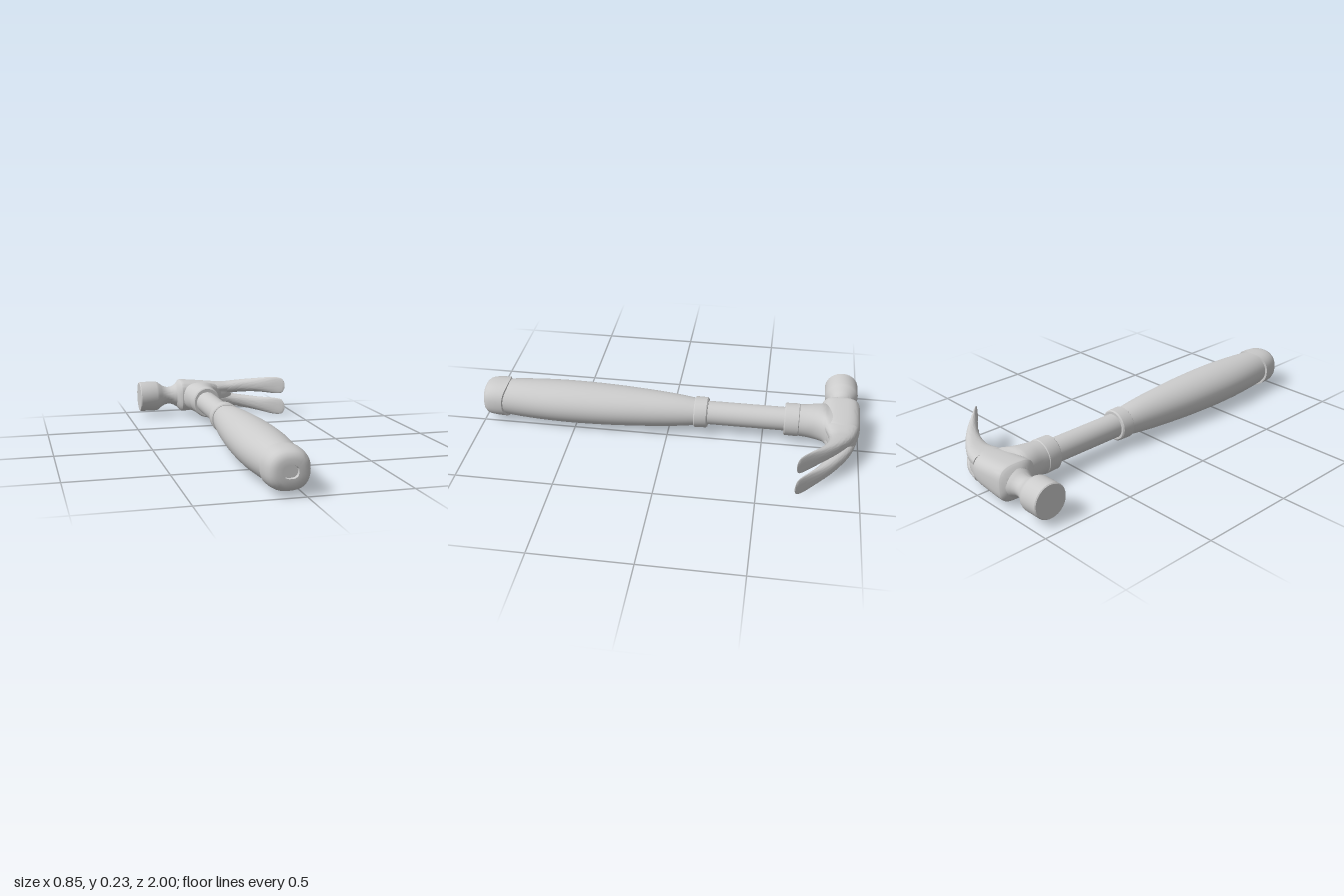
import * as THREE from 'three';
import { toCreasedNormals } from 'three/addons/utils/BufferGeometryUtils.js';

const CX = -0.074, CY = 0.115; // handle axis
const PZ = -0.907;             // striking axis

// Catmull-Rom refinement of a list of sections
function refine(rows, steps) {
  const out = [];
  for (let i = 0; i < rows.length - 1; i++) {
    const p = [rows[Math.max(i - 1, 0)], rows[i], rows[i + 1], rows[Math.min(i + 2, rows.length - 1)]];
    for (let s = 0; s < steps; s++) {
      const t = s / steps;
      out.push(rows[i].map((_, k) => {
        const [a, b, c, d] = p.map(r => r[k]);
        return b + 0.5 * t * (c - a + t * (2 * a - 5 * b + 4 * c - d + t * (3 * (b - c) + d - a)));
      }));
    }
  }
  out.push(rows[rows.length - 1]);
  return out;
}

// Closed skin over superellipse sections [t, centre1, radius1, centre2, radius2, exponent, wave].
// Axis 'x' puts the sections in (y, z), axis 'z' puts them in (x, y).
function loft(axis, rows, { steps = 1, sides = 40, crease = 0.6 } = {}) {
  const secs = steps > 1 ? refine(rows, steps) : rows;
  const pos = [], idx = [];
  const put = (t, u, v) => (axis === 'x' ? pos.push(t, u, v) : pos.push(u, v, t));
  const pw = (c, n) => Math.sign(c) * Math.pow(Math.abs(c), 2 / n);
  for (const [t, c1, r1, c2, r2, n = 2, wave = 0] of secs) {
    for (let j = 0; j < sides; j++) {
      const a = (j / sides) * Math.PI * 2;
      put(t + wave * Math.cos(2 * a), c1 + r1 * pw(Math.cos(a), n), c2 + r2 * pw(Math.sin(a), n));
    }
  }
  const last = secs.length - 1;
  for (let i = 0; i < last; i++) {
    for (let j = 0; j < sides; j++) {
      const k = (j + 1) % sides, a = i * sides, b = a + sides;
      idx.push(a + j, a + k, b + j, a + k, b + k, b + j);
    }
  }
  // end caps
  const e = secs.length * sides;
  put(secs[0][0], secs[0][1], secs[0][3]);
  put(secs[last][0], secs[last][1], secs[last][3]);
  for (let j = 0; j < sides; j++) {
    const k = (j + 1) % sides;
    idx.push(e, k, j, e + 1, last * sides + j, last * sides + k);
  }
  const g = new THREE.BufferGeometry();
  g.setAttribute('position', new THREE.Float32BufferAttribute(pos, 3));
  g.setIndex(idx);
  return toCreasedNormals(g, crease);
}

export function createModel() {
  const group = new THREE.Group();
  const mat = new THREE.MeshStandardMaterial({ color: 0xcccccc });
  const add = (name, geo) => {
    const m = new THREE.Mesh(geo, mat);
    m.name = name;
    group.add(m);
  };
  // section on the handle axis
  const h = (z, rx, ry, n = 2, wave = 0) => [z, CX, rx, CY, ry, n, wave];

  // Handle
  add('shaft', loft('z', [h(-0.68, 0.062, 0.062), h(-0.15, 0.062, 0.062)]));
  add('grip', loft('z', [
    h(-0.16, 0.07, 0.07), h(-0.05, 0.086, 0.084), h(0.1, 0.103, 0.095), h(0.3, 0.119, 0.104),
    h(0.5, 0.125, 0.108), h(0.65, 0.122, 0.106), h(0.8, 0.109, 0.1), h(0.92, 0.094, 0.09),
  ], { steps: 4 }));
  const collar = (name, z0, z1, r0, r1, ry) => add(name, loft('z', [
    h(z0, r0 - 0.006, ry - 0.006), h(z0 + 0.006, r0, ry),
    h(z1 - 0.006, r1, ry), h(z1, r1 - 0.006, ry - 0.006),
  ]));
  collar('gripCollar', -0.21, -0.138, 0.079, 0.084, 0.081);
  collar('headCollar', -0.69, -0.61, 0.085, 0.08, 0.087);

  // Butt cap with wavy front edge and a small recess
  add('buttCap', loft('z', [
    h(0.875, 0.098, 0.092, 2.3, 0.012), h(0.878, 0.108, 0.099, 2.3, 0.012),
    h(0.92, 0.105, 0.097, 2.4, 0.004), h(0.96, 0.1, 0.093, 2.4), h(0.98, 0.092, 0.086, 2.4),
    h(0.993, 0.08, 0.073, 2.4), h(1, 0.06, 0.055, 2.4), h(1, 0.036, 0.03, 2.6),
    h(0.985, 0.034, 0.028, 2.6),
  ]));

  // Poll: striking face, bevel and waisted neck
  const p = (x, r, rz = r) => [x, CY, r, PZ, rz];
  add('poll', loft('x', [
    p(-0.429, 0.084), p(-0.424, 0.088), p(-0.33, 0.088), p(-0.318, 0.084), p(-0.3, 0.069, 0.072),
    p(-0.28, 0.057, 0.062), p(-0.26, 0.051, 0.057), p(-0.24, 0.052, 0.057), p(-0.22, 0.06, 0.065),
    p(-0.2, 0.073, 0.076), p(-0.17, 0.085, 0.085),
  ]));

  // Cheek block, tapering into the fork of the claws
  add('headBody', loft('x', [
    [-0.21, CY, 0.062, PZ, 0.068, 2], [-0.185, CY, 0.088, -0.9, 0.096, 3],
    [-0.165, CY, 0.092, -0.9, 0.1, 3.2], [-0.08, CY, 0.085, -0.9, 0.1, 3],
    [0, CY, 0.077, -0.9, 0.097, 2.8], [0.05, CY, 0.072, -0.903, 0.08, 2.6],
    [0.1, CY, 0.064, -0.902, 0.062, 2.4], [0.13, CY, 0.03, -0.89, 0.035, 2],
  ], { steps: 4, crease: 0.7 }));

  // Socket flaring from the collar into the head
  add('socket', loft('z', [
    [-0.91, -0.06, 0.12, CY, 0.07, 2.4], [-0.84, -0.058, 0.13, CY, 0.08, 2.4],
    [-0.81, -0.07, 0.107, CY, 0.088, 2.3], [-0.77, -0.075, 0.093, CY, 0.088, 2.2],
    [-0.72, -0.074, 0.085, CY, 0.085, 2], [-0.67, -0.074, 0.08, CY, 0.082, 2],
  ], { steps: 4 }));

  // Claws: x, inner and outer offset from the middle, outer and inner z, exponent
  const claw = [
    [0.03, -0.004, 0.073, -0.987, -0.815, 2.5], [0.1, -0.002, 0.071, -0.968, -0.837, 2.5],
    [0.15, 0.005, 0.077, -0.945, -0.838, 2.5], [0.2, 0.01, 0.085, -0.913, -0.826, 2.4],
    [0.25, 0.014, 0.093, -0.875, -0.802, 2.3], [0.3, 0.016, 0.102, -0.828, -0.77, 2.2],
    [0.37, 0.014, 0.114, -0.75, -0.722, 2.2], [0.41, 0.022, 0.107, -0.706, -0.693, 2.2],
    [0.424, 0.052, 0.082, -0.69, -0.686, 2],
  ];
  for (const s of [1, -1]) {
    add(s > 0 ? 'upperClaw' : 'lowerClaw', loft('x', claw.map(([x, a, b, z0, z1, n]) =>
      [x, CY + s * (a + b) / 2, (b - a) / 2, (z0 + z1) / 2, (z1 - z0) / 2, n]), { steps: 4 }));
  }
  return group;
}
